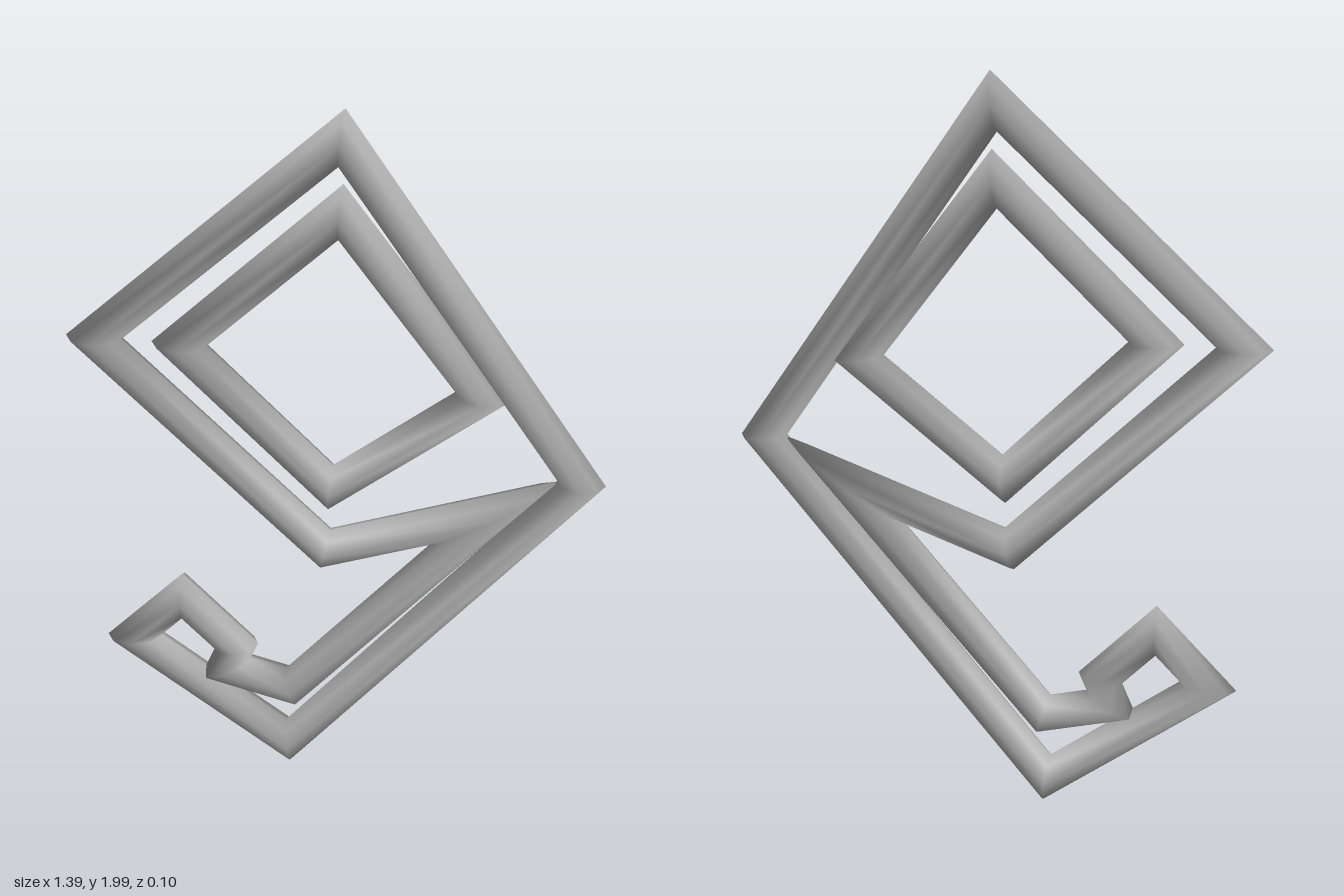
import * as THREE from 'three';

const RADIUS = 0.05, SIDES = 8;

// Closed tube along a flat polygon, mitred at every corner
function mitredTube(points, material, name) {
  const n = points.length;
  const path = points.map(([x, y]) => new THREE.Vector2(x, y));
  const positions = [], index = [];
  path.forEach((p, i) => {
    const a = p.clone().sub(path[(i + n - 1) % n]).normalize();
    const b = path[(i + 1) % n].clone().sub(p).normalize();
    const na = new THREE.Vector2(-a.y, a.x), nb = new THREE.Vector2(-b.y, b.x);
    const mitre = na.clone().add(nb).divideScalar(1 + na.dot(nb));
    for (let j = 0; j < SIDES; j++) {
      const t = (j / SIDES) * Math.PI * 2, c = Math.cos(t) * RADIUS;
      positions.push(p.x + mitre.x * c, p.y + mitre.y * c, Math.sin(t) * RADIUS);
      const k = (j + 1) % SIDES, next = ((i + 1) % n) * SIDES, here = i * SIDES;
      index.push(here + j, next + k, next + j, here + j, here + k, next + k);
    }
  });
  const geometry = new THREE.BufferGeometry();
  geometry.setAttribute('position', new THREE.Float32BufferAttribute(positions, 3));
  geometry.setIndex(index);
  geometry.computeVertexNormals();
  const mesh = new THREE.Mesh(geometry, material);
  mesh.name = name;
  return mesh;
}

export function createModel() {
  const group = new THREE.Group();
  group.name = 'wireOrnament';
  const grey = new THREE.MeshStandardMaterial({ color: 0xb2b2b2 });
  grey.name = 'grey';

  // Outer outline: bowl, sharp inner notch, tail and hooked curl
  group.add(mitredTube([
    [0.012, 1.925], [-0.627, 1.33], [-0.03, 0.74], [0.415, 0.9],
    [-0.125, 0.267], [-0.31, 0.314], [-0.278, 0.389], [-0.424, 0.54],
    [-0.565, 0.393], [-0.135, 0.075], [0.632, 1.01],
  ], grey, 'outerOutline'));

  // Inner diamond ring
  group.add(mitredTube([
    [0.01, 1.73], [-0.405, 1.33], [-0.015, 0.935], [0.37, 1.243],
  ], grey, 'innerRing'));
  return group;
}
